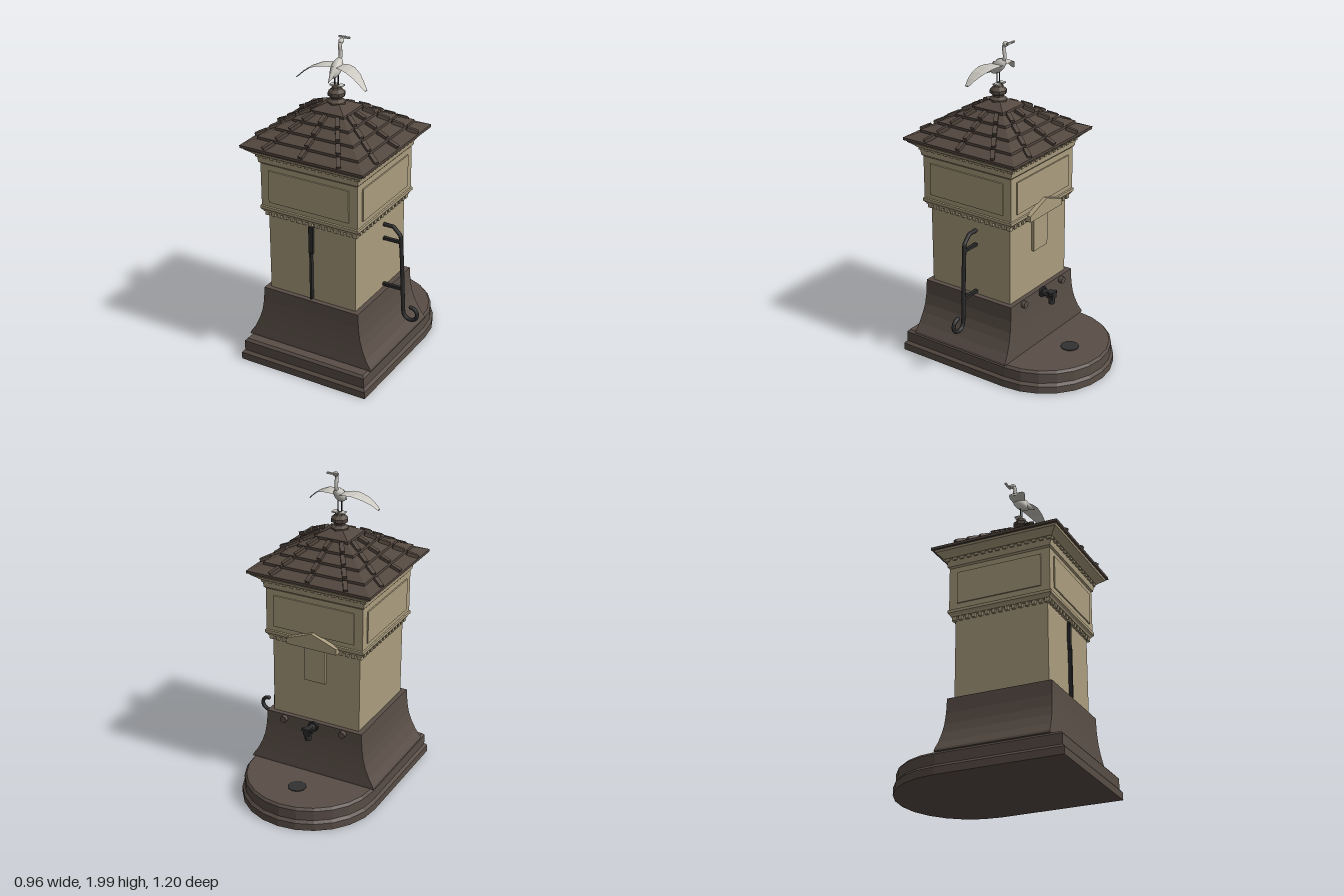
import * as THREE from 'three';

const mat = (name, color) => Object.assign(new THREE.MeshStandardMaterial({ color }), { name });

// Faceted copy of a geometry
function flat(geo) {
  const g = geo.index ? geo.toNonIndexed() : geo;
  g.computeVertexNormals();
  return g;
}

// Skin a list of equal-length rings of [x, y, z] and cap both ends
function loft(rings) {
  const n = rings[0].length, idx = [];
  for (let k = 0; k < rings.length - 1; k++) {
    for (let i = 0; i < n; i++) {
      const a = k * n + i, b = k * n + (i + 1) % n;
      idx.push(a, b, b + n, a, b + n, a + n);
    }
  }
  const top = (rings.length - 1) * n;
  for (let i = 1; i < n - 1; i++) idx.push(0, i + 1, i, top, top + i, top + i + 1);
  const g = new THREE.BufferGeometry();
  g.setAttribute('position', new THREE.Float32BufferAttribute(rings.flat(2), 3));
  g.setIndex(idx);
  return flat(g);
}

const rect = (hx, hz, y) => [[-hx, y, hz], [hx, y, hz], [hx, y, -hz], [-hx, y, -hz]];

// Outline with a square front and a half-round back
function basinRing(r, y) {
  const ring = [[-r, y, r], [r, y, r]];
  for (let i = 0; i <= 12; i++) {
    const a = Math.PI * i / 12;
    ring.push([r * Math.cos(a), y, -0.34 - r * Math.sin(a)]);
  }
  return ring;
}

function polyline(points) {
  const path = new THREE.CurvePath();
  for (let i = 1; i < points.length; i++) path.add(new THREE.LineCurve3(points[i - 1], points[i]));
  return path;
}

export function createModel() {
  const brown = mat('brown stone', 0x584d46);
  const roofBrown = mat('roof brown', 0x53473f);
  const beige = mat('beige stone', 0xaa9c7e);
  const black = mat('black iron', 0x2b2b2c);
  const drainGrey = mat('drain grey', 0x323232);
  const white = mat('pale grey', 0xcac8c0);

  const model = new THREE.Group();
  const tower = new THREE.Group();
  tower.name = 'tower';
  tower.position.set(-0.06, 0, 0.17);
  model.add(tower);

  const add = (name, geo, material, x = 0, y = 0, z = 0, parent = tower) => {
    const m = new THREE.Mesh(geo, material);
    m.name = name;
    m.position.set(x, y, z);
    parent.add(m);
    return m;
  };
  const box = (name, material, w, h, d, x, y, z, parent) =>
    add(name, new THREE.BoxGeometry(w, h, d), material, x, y, z, parent);

  // Plinth with basin floor and drain
  add('plinth', loft([[0.43, 0], [0.43, 0.045], [0.415, 0.062], [0.415, 0.125], [0.402, 0.14]]
    .map(([r, y]) => basinRing(r, y))), brown);
  add('drain', new THREE.CylinderGeometry(0.057, 0.057, 0.006, 10), drainGrey, 0, 0.142, -0.53);

  // Skirt, flaring mostly sideways
  add('skirt', loft([[0.42, 0.345, 0.138], [0.417, 0.344, 0.152], [0.385, 0.338, 0.2], [0.355, 0.331, 0.265],
    [0.338, 0.326, 0.32], [0.327, 0.322, 0.39], [0.322, 0.32, 0.48]]
    .map(([hx, hz, y]) => rect(hx, hz, y))), brown);

  // Shaft, mouldings, upper box and crown
  add('body', loft([[0.29, 0.47], [0.29, 0.99], [0.31, 0.99], [0.315, 1.0], [0.326, 1.012], [0.326, 1.03],
    [0.319, 1.034], [0.319, 1.3], [0.328, 1.31], [0.333, 1.36], [0.345, 1.36], [0.36, 1.375],
    [0.385, 1.395], [0.39, 1.412]].map(([h, y]) => rect(h, h, y))), beige);

  // Roof of overlapping courses
  const profile = [new THREE.Vector2(0, 1.408)];
  for (let i = 0; i < 5; i++) {
    const r = 0.402 - 0.073 * i, y = 1.408 + 0.043 * i;
    profile.push(new THREE.Vector2(r, y), new THREE.Vector2(r, y + 0.016));
  }
  profile.push(new THREE.Vector2(0.04, 1.63), new THREE.Vector2(0, 1.63));
  profile.forEach((p) => { p.x *= Math.SQRT2; });
  add('roof', flat(new THREE.LatheGeometry(profile, 4, Math.PI / 4)), roofBrown);

  // Per side: panel, dentil rows and roof ribs
  for (let s = 0; s < 4; s++) {
    const side = new THREE.Group();
    side.name = 'sideTrim';
    side.rotation.y = s * Math.PI / 2;
    tower.add(side);
    box('panel', beige, 0.53, 0.2, 0.009, 0, 1.165, 0.3225, side);
    for (let i = 0; i < 15; i++) {
      const x = (i - 7) * 0.042;
      box('lowerDentil', beige, 0.022, 0.024, 0.03, x, 0.979, 0.292, side);
      box('upperDentil', beige, 0.024, 0.016, 0.03, x * 1.1, 1.353, 0.327, side);
    }
    for (const t of [-0.62, 0, 0.62]) {
      for (let i = 0; i < 4; i++) {
        const r = 0.368 - 0.0715 * i;
        const rib = box('roofRib', roofBrown, 0.026, 0.022, t ? 0.072 : 0.064, t * r, 1.445 + 0.043 * i, r, side);
        rib.rotation.set(0.4, Math.atan(t), 0, 'YXZ');
      }
    }
  }

  // Finial
  add('finial', flat(new THREE.LatheGeometry([[0.055, 1.61], [0.055, 1.635], [0.034, 1.65], [0.034, 1.66],
    [0.052, 1.67], [0.052, 1.69], [0.032, 1.708], [0.028, 1.722], [0, 1.724]]
    .map(([r, y]) => new THREE.Vector2(r, y)), 8)), roofBrown);

  // Front slot and rod
  box('slotPlate', black, 0.028, 0.17, 0.02, 0, 0.875, 0.296);
  box('slotRod', black, 0.013, 0.31, 0.026, 0, 0.643, 0.299);

  // Pump handle with curled end and brackets
  const handle = [[0.285, 0.9], [0.355, 0.9], [0.402, 0.852], [0.412, 0.7], [0.426, 0.36]]
    .map(([x, y]) => new THREE.Vector3(x, y, 0));
  for (let i = 1; i <= 14; i++) {
    const a = Math.PI * (1 + 1.5 * i / 14), r = 0.052 - 0.001 * i;
    handle.push(new THREE.Vector3(0.478 + r * Math.cos(a), 0.35 + r * Math.sin(a), 0));
  }
  add('pumpHandle', new THREE.TubeGeometry(polyline(handle), 120, 0.0125, 8), black, 0, 0, -0.042);
  const end = handle[handle.length - 1];
  add('handleTip', new THREE.SphereGeometry(0.0135, 10, 8), black, end.x, end.y, -0.042);
  box('upperBracket', black, 0.125, 0.018, 0.02, 0.345, 0.81, -0.042);
  box('lowerBracket', black, 0.135, 0.018, 0.02, 0.355, 0.5, -0.042);

  // Back plaque under a small gable
  box('plaque', beige, 0.14, 0.26, 0.026, 0, 0.88, -0.296);
  const gable = new THREE.Shape([[-0.165, 0.985], [0.165, 0.985], [0.165, 1.022], [0, 1.085], [-0.165, 1.022]]
    .map(([x, y]) => new THREE.Vector2(x, y)));
  add('gable', new THREE.ExtrudeGeometry(gable, { depth: 0.065, bevelEnabled: false }), beige, 0, 0, -0.35);

  // Tap and wall knobs at the back
  const pipe = (name, material, r, len, x, y, z) => {
    add(name, new THREE.CylinderGeometry(r, r, len, 10), material, x, y, z).rotation.x = Math.PI / 2;
  };
  pipe('tapFlange', black, 0.034, 0.016, 0, 0.455, -0.327);
  pipe('tapPipe', black, 0.022, 0.1, 0, 0.455, -0.365);
  box('tapHead', black, 0.042, 0.042, 0.045, 0, 0.455, -0.392);
  box('tapGrip', black, 0.07, 0.018, 0.018, 0, 0.465, -0.4);
  add('tapNozzle', new THREE.CylinderGeometry(0.02, 0.02, 0.05, 10), black, 0, 0.422, -0.393);
  for (const s of [-1, 1]) pipe('wallKnob', brown, 0.022, 0.035, s * 0.2, 0.455, -0.328);

  // Bird facing the back
  const bird = new THREE.Group();
  bird.name = 'bird';
  tower.add(bird);
  const body = add('birdBody', new THREE.SphereGeometry(1, 16, 12), white, 0, 1.832, 0.0, bird);
  body.scale.set(0.032, 0.034, 0.066);
  body.rotation.x = 0.75;
  const tail = add('birdTail', new THREE.ConeGeometry(0.03, 0.1, 12), white, 0, 1.8, 0.055, bird);
  tail.rotation.x = 2.25;
  tail.scale.x = 0.8;
  const neck = new THREE.CatmullRomCurve3([[1.855, -0.025], [1.885, -0.045], [1.92, -0.045], [1.95, -0.04], [1.972, -0.05]]
    .map(([y, z]) => new THREE.Vector3(0, y, z)));
  add('birdNeck', new THREE.TubeGeometry(neck, 20, 0.011, 10), white, 0, 0, 0, bird);
  add('birdHead', new THREE.SphereGeometry(0.015, 12, 10), white, 0, 1.975, -0.055, bird).scale.z = 1.3;
  add('birdBeak', new THREE.ConeGeometry(0.008, 0.05, 8), white, 0, 1.986, -0.085, bird).rotation.x = -1.25;
  box('beakTwig', white, 0.072, 0.01, 0.012, 0, 1.987, -0.09, bird);
  for (const s of [-1, 1]) {
    add('birdLeg', new THREE.CylinderGeometry(0.004, 0.004, 0.085, 6), black, s * 0.012, 1.762, 0.0, bird);
    box('birdFoot', white, 0.03, 0.008, 0.04, s * 0.025, 1.728, -0.008, bird);
    // Wing sections: x, y, leading z, trailing z
    const rings = [[0.01, 1.845, -0.045, 0.03], [0.06, 1.848, -0.047, 0.055], [0.1, 1.843, -0.035, 0.068],
      [0.15, 1.822, -0.01, 0.075], [0.19, 1.792, 0.02, 0.077], [0.225, 1.758, 0.045, 0.072]].map(([x, y, a, b]) => {
      const m = a + (b - a) * 0.35;
      const ring = [[s * x, y, a], [s * x, y + 0.004, m], [s * x, y, b], [s * x, y - 0.004, m]];
      return s > 0 ? ring : ring.reverse();
    });
    add('birdWing', loft(rings), white, 0, 0, 0, bird);
  }
  return model;
}
